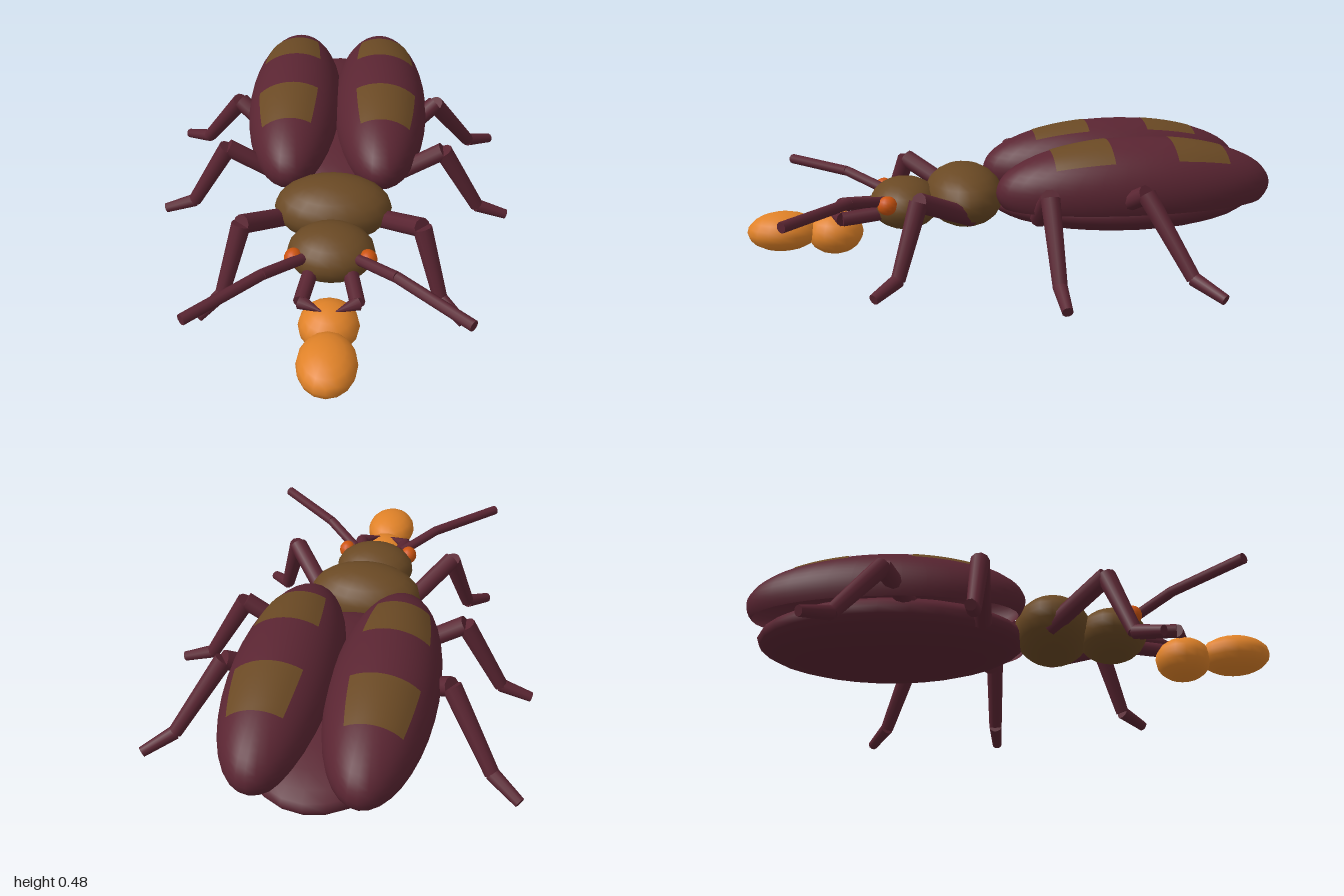
import * as THREE from 'three';

const V = (x, y, z) => new THREE.Vector3(x, y, z);
const mat = (name, color) => new THREE.MeshStandardMaterial({ name, color });

export function createModel() {
  const model = new THREE.Group();
  model.name = 'beetle';

  const maroon = mat('maroon shell', 0x5a2532);
  const brown = mat('brown', 0x6a4924);
  const orange = mat('orange', 0xe08228);
  const red = mat('orange red eye', 0xcc5410);
  const shell = mat('maroon wing case', 0x5a2532);
  shell.side = THREE.DoubleSide;

  const add = (name, geometry, material, parent = model) => {
    const mesh = new THREE.Mesh(geometry, material);
    mesh.name = name;
    parent.add(mesh);
    return mesh;
  };

  // Ellipsoid from centre and radii
  const ellipsoid = (name, c, r, material, thetaLength = Math.PI, w = 20, h = 12) => {
    const g = new THREE.SphereGeometry(1, w, h, 0, Math.PI * 2, 0, thetaLength);
    g.scale(...r).translate(...c);
    return add(name, g, material);
  };

  // Tapered rods along a chain of points, with one radius at each point
  const limb = (name, side, points, radii) => {
    const group = new THREE.Group();
    group.name = name;
    for (let i = 0; i < points.length - 1; i++) {
      const a = V(...points[i]), b = V(...points[i + 1]);
      a.x *= side;
      b.x *= side;
      const dir = b.clone().sub(a);
      const rod = add(`${name}Segment${i + 1}`,
        new THREE.CylinderGeometry(radii[i + 1], radii[i], dir.length(), 10), maroon, group);
      rod.position.copy(a).add(b).multiplyScalar(0.5);
      rod.quaternion.setFromUnitVectors(V(0, 1, 0), dir.normalize());
    }
    model.add(group);
  };

  // Body
  ellipsoid('abdomen', [0, 0.22, -0.465], [0.33, 0.11, 0.53], maroon, Math.PI, 28, 14);
  ellipsoid('thorax', [0, 0.252, 0.17], [0.222, 0.118, 0.152], brown);
  ellipsoid('head', [0, 0.228, 0.4], [0.16, 0.098, 0.135], brown);

  // Food held between the jaws
  ellipsoid('foodRear', [0, 0.122, 0.67], [0.108, 0.083, 0.107], orange, Math.PI, 16, 10);
  ellipsoid('foodFront', [0, 0.135, 0.865], [0.104, 0.074, 0.135], orange, Math.PI, 16, 10);

  // Wing case size, shared with the painted patches
  const C = { x: 0.178, y: 0.3, z: -0.465 }, R = { x: 0.195, y: 0.19, z: 0.535 };

  // Curved patch lying just above a wing case
  const patch = (side, z0, z1) => {
    const g = new THREE.PlaneGeometry(1, 1, 10, 8);
    const p = g.attributes.position;
    for (let i = 0; i < p.count; i++) {
      const a = THREE.MathUtils.lerp(-0.54, 0.82, p.getX(i) + 0.5);
      const angle = side > 0 ? a : 0.28 - a;
      const z = THREE.MathUtils.lerp(z1, z0, p.getY(i) + 0.5);
      const r = Math.sqrt(1 - ((z - C.z) / R.z) ** 2) * 1.012;
      p.setXYZ(i, side * C.x + side * R.x * r * Math.sin(angle), C.y + R.y * r * Math.cos(angle), z);
    }
    g.computeVertexNormals();
    return g;
  };

  for (const s of [1, -1]) {
    const n = s > 0 ? 'left' : 'right';

    // Wing case, open underneath
    ellipsoid(n + 'WingCase', [s * C.x, C.y, C.z], [R.x, R.y, R.z], shell, Math.PI * 0.6, 36, 18);
    add(n + 'FrontPatch', patch(s, -0.35, -0.135), brown);
    add(n + 'RearPatch', patch(s, -0.8, -0.59), brown);

    // Head details
    ellipsoid(n + 'Eye', [s * 0.132, 0.255, 0.473], [0.034, 0.036, 0.038], red, Math.PI, 14, 10);
    limb(n + 'Antenna', s,
      [[0.1, 0.262, 0.485], [0.23, 0.3, 0.615], [0.472, 0.3, 0.84]], [0.02, 0.02, 0.02]);
    limb(n + 'Mandible', s,
      [[0.07, 0.21, 0.49], [0.098, 0.2, 0.64], [0.025, 0.2, 0.685]], [0.028, 0.027, 0.003]);

    // Legs: hip, knee, ankle, toe
    const thickness = [0.035, 0.036, 0.027, 0.02];
    limb(n + 'FrontLeg', s,
      [[0.15, 0.2, 0.16], [0.325, 0.32, 0.37], [0.4, 0.06, 0.455], [0.48, 0.025, 0.545]], thickness);
    limb(n + 'MiddleLeg', s,
      [[0.2, 0.2, -0.09], [0.425, 0.34, -0.085], [0.58, 0.07, -0.09], [0.7, 0.027, -0.09]], thickness);
    limb(n + 'HindLeg', s,
      [[0.2, 0.2, -0.31], [0.41, 0.335, -0.44], [0.58, 0.07, -0.57], [0.685, 0.027, -0.65]], thickness);
  }

  return model;
}
